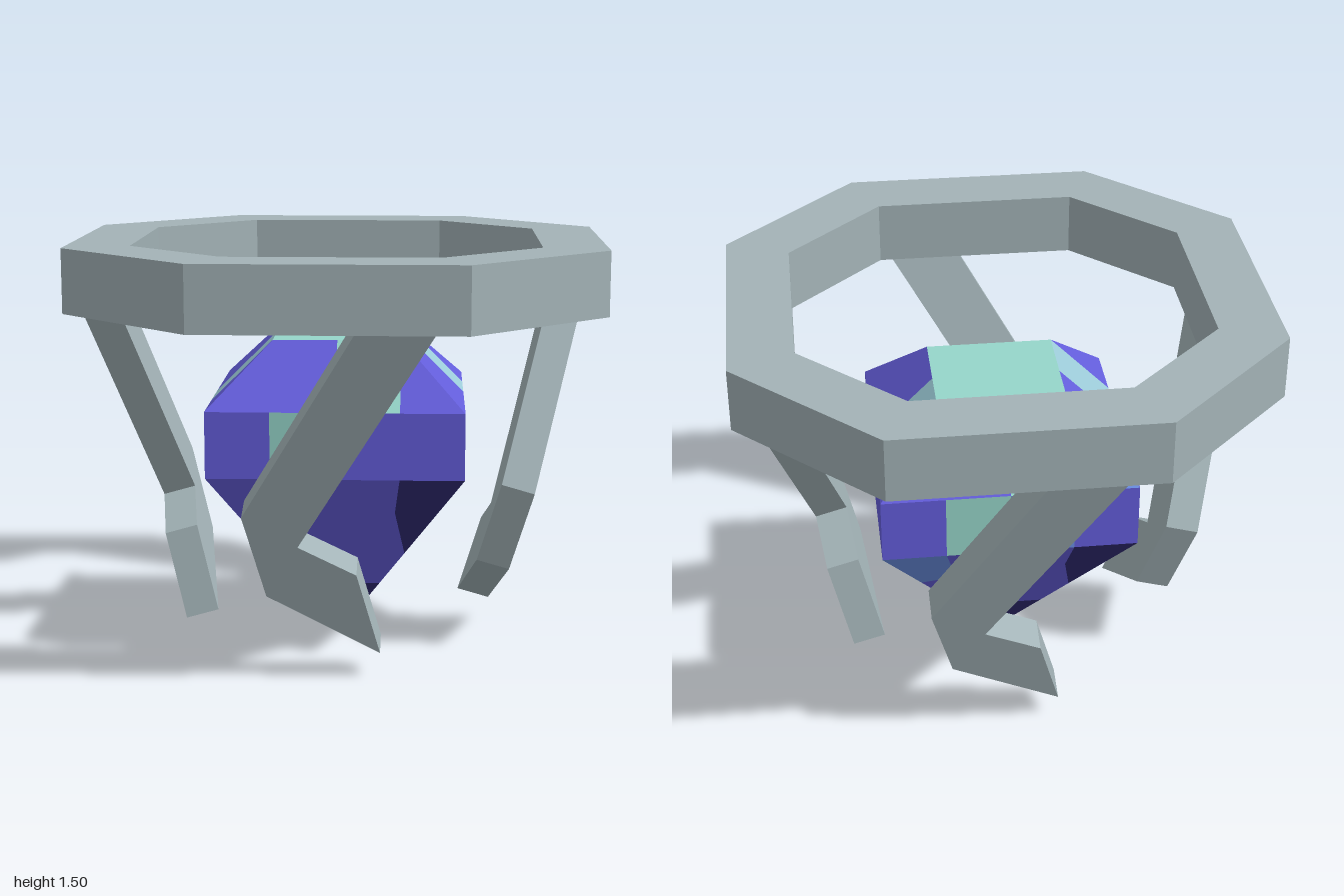
import * as THREE from 'three';

const mat = (name, color) => {
  const m = new THREE.MeshStandardMaterial({ color });
  m.name = name;
  return m;
};

export function createModel() {
  const stone = mat('greyStone', 0xa3b3b7);
  const gemColours = {
    violet: mat('violet', 0x645ddb),
    teal: mat('teal', 0x96d6ca),
    paleBlue: mat('paleBlue', 0x9ccbd8),
    blue: mat('blue', 0x6a8ee2),
    navy: mat('navy', 0x2f2b72),
  };
  const model = new THREE.Group();
  model.name = 'mountedGem';

  // Octagonal ring
  const octagon = (a, b) => [[a, -b], [a, b], [b, a], [-b, a], [-a, b], [-a, -b], [-b, -a], [b, -a]]
    .map(([x, y]) => new THREE.Vector2(x, y));
  const ringShape = new THREE.Shape(octagon(1, 0.345));
  ringShape.holes.push(new THREE.Path(octagon(0.773, 0.25)));
  const ringGeo = new THREE.ExtrudeGeometry(ringShape, { depth: 0.23, bevelEnabled: false });
  ringGeo.rotateX(-Math.PI / 2).translate(0, 1.275, 0);
  const ring = new THREE.Mesh(ringGeo, stone);
  ring.name = 'ring';
  model.add(ring);

  // Bent claws: a zigzag plate leaning outward, repeated round the ring
  const clawShape = new THREE.Shape([
    [0.133, 1.35], [-0.308, 0.61], [-0.23, 0.31], [0.166, 0.09],
    [0.085, 0.395], [-0.117, 0.5], [0.4, 1.35],
  ].map(([x, y]) => new THREE.Vector2(x, y)));
  const clawGeo = new THREE.ExtrudeGeometry(clawShape, { depth: 1, bevelEnabled: false });
  const p = clawGeo.attributes.position;
  for (let i = 0; i < p.count; i++) {
    const y = p.getY(i), inward = 1 - p.getZ(i);
    p.setY(i, y + 0.034 * inward);
    p.setZ(i, 0.543 + 0.282 * y - 0.119 * inward);
  }
  clawGeo.computeVertexNormals();
  for (let k = 0; k < 4; k++) {
    const claw = new THREE.Mesh(clawGeo, stone);
    claw.name = 'claw';
    claw.rotation.y = Math.PI / 4 + k * Math.PI / 2;
    model.add(claw);
  }

  // Gem: four sides, each cut into coloured facets given as (u across, height)
  const tris = {};
  const radius = (y) => y <= 0.69 ? 0.65 * y / 0.69
    : y <= 0.93 ? 0.65 : 0.65 - 0.32 * (y - 0.93) / 0.225;
  const addFacet = (colour, side, corners) => {
    const pts = corners.map(([u, y]) => {
      const h = radius(y) / Math.SQRT2;
      return new THREE.Vector3((2 * u - 1) * h, y, h)
        .applyAxisAngle(new THREE.Vector3(0, 1, 0), Math.PI / 4 + side * Math.PI / 2);
    });
    const list = (tris[colour] ??= []);
    for (let i = 1; i < pts.length - 1; i++) {
      for (const v of [pts[0], pts[i], pts[i + 1]]) list.push(v.x, v.y, v.z);
    }
  };
  const low = 0.69, high = 0.93, top = 1.155;
  for (let k = 0; k < 4; k++) {
    const special = k === 1;
    const accent = k % 2 ? 'teal' : 'paleBlue';

    // Pointed lower part
    addFacet('navy', k, [[0, 0], [1, 0.23], [0, 0.23]]);
    const body = [[0, 0.23], [1, 0.23], [1, 0.37], [0.79, 0.55], [0.75, low]];
    addFacet('violet', k, special
      ? [...body, [0.25, low], [0.22, 0.5], [0, 0.47]] : [...body, [0, low]]);
    addFacet('navy', k, [[1, 0.37], [1, low], [0.75, low], [0.79, 0.55]]);
    if (special) addFacet('blue', k, [[0, 0.47], [0.22, 0.5], [0.25, low], [0, low]]);

    // Upright girdle
    ['violet', accent, special ? 'blue' : 'violet', 'violet'].forEach((c, i) => {
      const a = i / 4, b = a + 0.25;
      addFacet(c, k, [[a, low], [b, low], [b, high], [a, high]]);
    });

    // Sloping crown
    addFacet('violet', k, [[0, high], [0.5, high], [0.5, top], [0, top]]);
    addFacet(accent, k, [[0.5, high], [0.75, high], [1, top], [0.5, top]]);
    addFacet(special ? 'blue' : 'violet', k, [[0.75, high], [1, high], [1, top]]);
  }

  // Flat gem top
  const t = radius(top);
  for (let k = 0; k < 4; k++) {
    const a = k * Math.PI / 2, b = a + Math.PI / 2;
    tris.teal.push(0, top, 0, t * Math.sin(a), top, t * Math.cos(a), t * Math.sin(b), top, t * Math.cos(b));
  }

  const gem = new THREE.Group();
  gem.name = 'gem';
  for (const [colour, list] of Object.entries(tris)) {
    const g = new THREE.BufferGeometry();
    g.setAttribute('position', new THREE.Float32BufferAttribute(list, 3));
    g.computeVertexNormals();
    const mesh = new THREE.Mesh(g, gemColours[colour]);
    mesh.name = colour + 'Facets';
    gem.add(mesh);
  }
  model.add(gem);
  return model;
}
